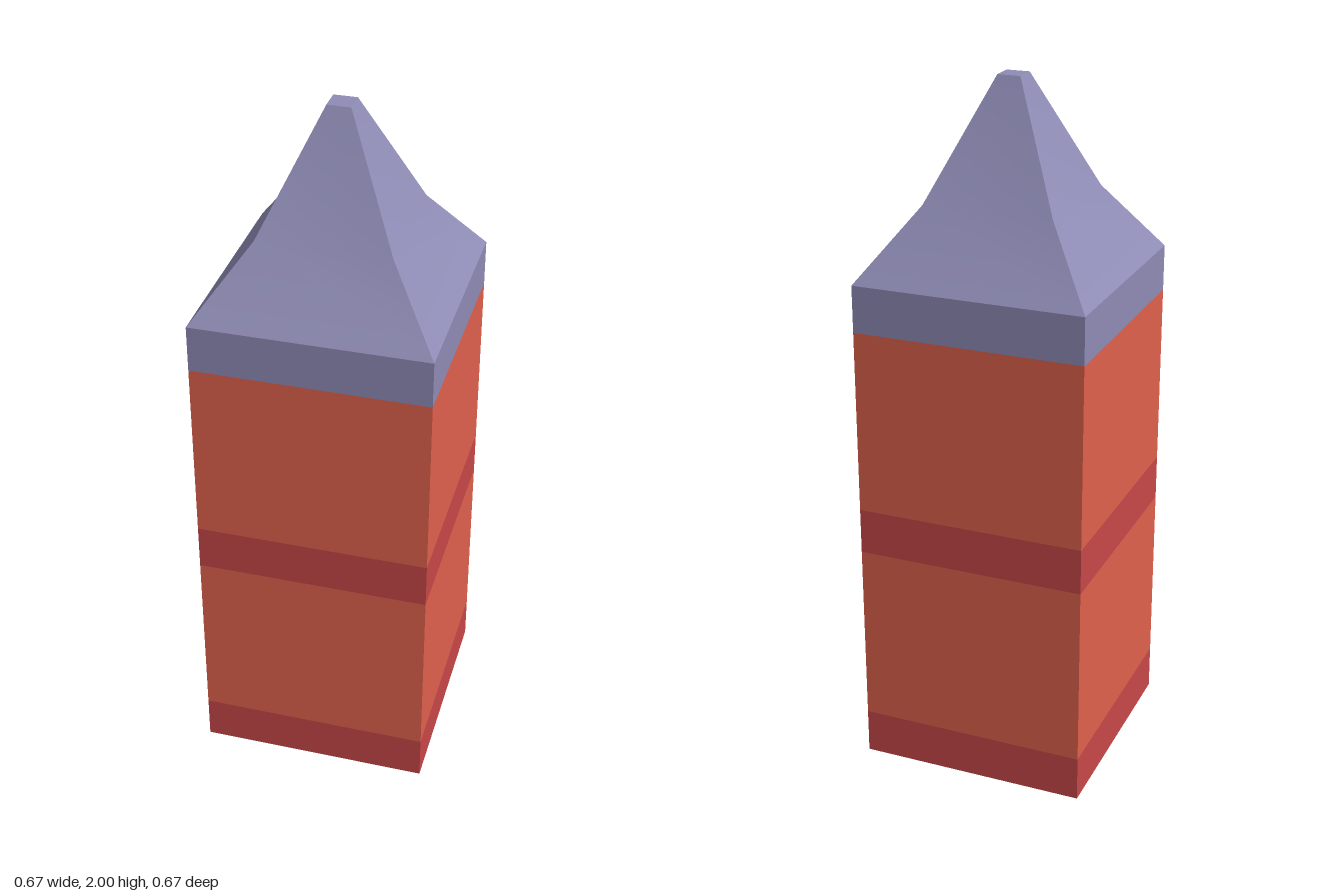
import * as THREE from 'three';
import { toCreasedNormals } from 'three/addons/utils/BufferGeometryUtils.js';

const HALF = 0.333;

export function createModel() {
  const model = new THREE.Group();
  const orange = new THREE.MeshStandardMaterial({ color: 0xe0614d });
  const red = new THREE.MeshStandardMaterial({ color: 0xc84747 });
  const slate = new THREE.MeshStandardMaterial({ color: 0x8f8cb6 });

  const add = (name, geometry, material) => {
    const mesh = new THREE.Mesh(geometry, material);
    mesh.name = name;
    model.add(mesh);
  };

  // Square tower, stacked in coloured courses: name, bottom, top, material
  const courses = [
    ['baseBand', 0, 0.133, red],
    ['lowerWall', 0.133, 0.667, orange],
    ['middleBand', 0.667, 0.8, red],
    ['upperWall', 0.8, 1.333, orange],
    ['roofBand', 1.333, 1.467, slate],
  ];
  for (const [name, y0, y1, material] of courses) {
    const box = new THREE.BoxGeometry(2 * HALF, y1 - y0, 2 * HALF);
    add(name, box.translate(0, (y0 + y1) / 2, 0), material);
  }

  // Four-sided flared roof with a small flat tip; each side is smooth, hips stay sharp
  const profile = [[HALF, 1.467], [0.187, 1.667], [0.033, 2], [0, 2]]
    .map(([half, y]) => new THREE.Vector2(half * Math.SQRT2, y));
  const roof = new THREE.LatheGeometry(profile, 4, Math.PI / 4);
  add('roof', toCreasedNormals(roof, Math.PI / 6), slate);

  return model;
}
